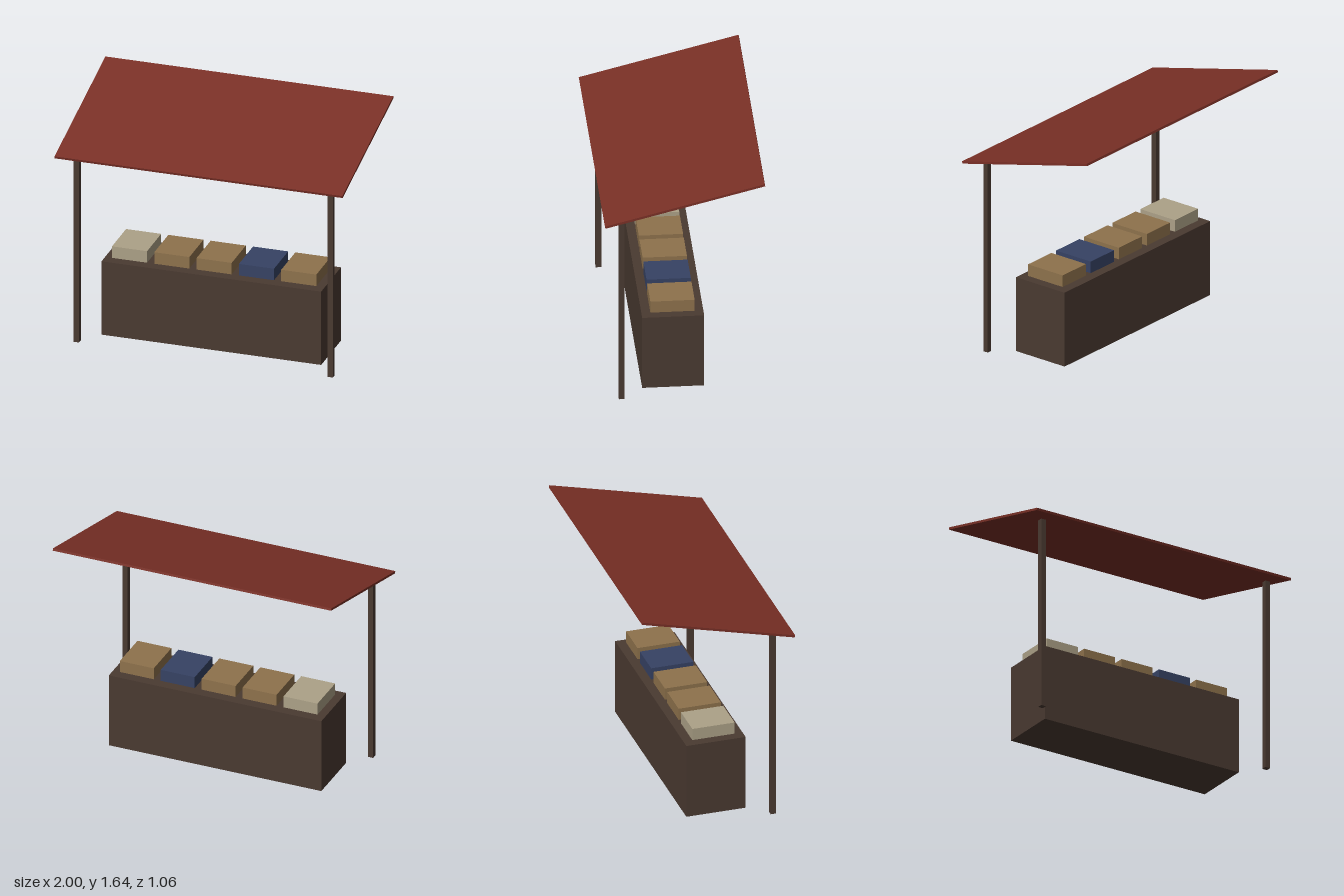
import * as THREE from 'three';

const material = (name, color) => {
  const m = new THREE.MeshStandardMaterial({ color });
  m.name = name;
  return m;
};

export function createModel() {
  const stall = new THREE.Group();
  stall.name = 'marketStall';

  const darkWood = material('darkWood', 0x4a3a31);
  const redCloth = material('redCloth', 0x7a3026);
  const tan = material('tan', 0x8e724c);
  const blue = material('blue', 0x364264);
  const cream = material('cream', 0xaca187);

  const box = (name, mat, [w, h, d], [x, y, z]) => {
    const mesh = new THREE.Mesh(new THREE.BoxGeometry(w, h, d), mat);
    mesh.name = name;
    mesh.position.set(x, y, z);
    stall.add(mesh);
    return mesh;
  };

  // Solid counter
  box('counter', darkWood, [1.526, 0.53, 0.41], [0, 0.265, 0.058]);

  // Two front posts
  for (const side of [-1, 1]) {
    box(side > 0 ? 'leftPost' : 'rightPost', darkWood,
      [0.037, 1.355, 0.037], [side * 0.882, 0.6775, 0.411]);
  }

  // Sloping awning, low at the front
  const awning = box('awning', redCloth, [2, 0.016, 1.09], [0, 1.496, 0]);
  awning.rotation.x = 0.25;

  // Row of goods, resting just clear of the counter top
  [cream, tan, tan, blue, tan].forEach((mat, i) => {
    box(`goods${i + 1}`, mat, [0.244, 0.083, 0.293], [(i - 2) * 0.294, 0.579, 0.058]);
  });

  return stall;
}
